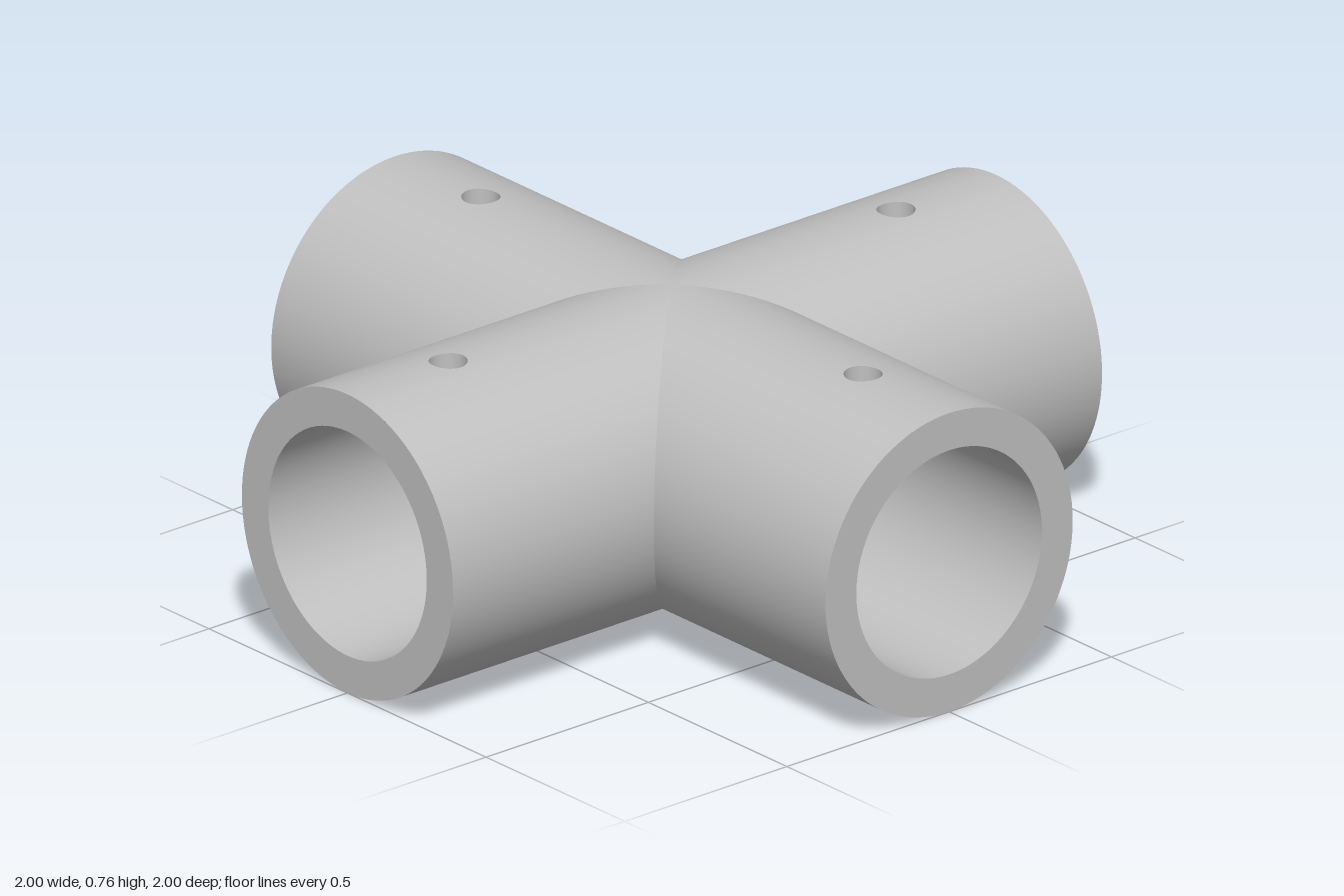
import * as THREE from 'three';
import { mergeGeometries } from 'three/addons/utils/BufferGeometryUtils.js';

const OUTER = 0.381, INNER = 0.286; // pipe radii
const HOLE = 0.046, HOLE_Z = 0.69;  // pin hole radius and distance from the centre
const PATCH = 0.07;                 // half size of the square patch around the hole

// Grid surface with given normals; triangles are wound to agree with them.
function sheet(nu, nv, point, normal) {
  const pos = [], nor = [], idx = [];
  const P = [], N = [];
  for (let j = 0; j <= nv; j++) for (let i = 0; i <= nu; i++) {
    const p = point(i / nu, j / nv), n = normal(p).normalize();
    P.push(p); N.push(n);
    pos.push(p.x, p.y, p.z); nor.push(n.x, n.y, n.z);
  }
  const tri = (a, b, c) => {
    const face = P[b].clone().sub(P[a]).cross(P[c].clone().sub(P[a]));
    if (face.dot(N[a].clone().add(N[b]).add(N[c])) > 0) idx.push(a, b, c);
    else idx.push(a, c, b);
  };
  for (let j = 0; j < nv; j++) for (let i = 0; i < nu; i++) {
    const a = j * (nu + 1) + i, c = a + nu + 1;
    tri(a, a + 1, c + 1);
    tri(a, c + 1, c);
  }
  const g = new THREE.BufferGeometry();
  g.setAttribute('position', new THREE.Float32BufferAttribute(pos, 3));
  g.setAttribute('normal', new THREE.Float32BufferAttribute(nor, 3));
  g.setIndex(idx);
  return g;
}

// Mitred pipe wall along +z with a round hole in its top.
function pipeWall(r, side) {
  const normal = p => new THREE.Vector3(p.x * side, p.y * side, 0);
  const onTop = (x, z) => new THREE.Vector3(x, Math.sqrt(r * r - x * x), z);
  const stripX = u => PATCH * Math.tan((u - 0.5) * Math.PI / 2);
  const a = Math.asin(PATCH / r);
  return mergeGeometries([
    // everything beside the hole
    sheet(96, 4, (u, v) => {
      const t = a + u * (2 * Math.PI - 2 * a), x = r * Math.sin(t);
      return new THREE.Vector3(x, r * Math.cos(t), THREE.MathUtils.lerp(Math.abs(x), 1, v));
    }, normal),
    // top strips towards the centre and towards the open end
    sheet(8, 4, (u, v) => {
      const x = stripX(u);
      return onTop(x, THREE.MathUtils.lerp(Math.abs(x), HOLE_Z - PATCH, v));
    }, normal),
    sheet(8, 2, (u, v) => onTop(stripX(u), THREE.MathUtils.lerp(HOLE_Z + PATCH, 1, v)), normal),
    // square patch with the round opening
    sheet(32, 2, (u, v) => {
      const t = u * 2 * Math.PI + Math.PI / 4, c = Math.cos(t), s = Math.sin(t);
      const k = THREE.MathUtils.lerp(HOLE, PATCH / Math.max(Math.abs(c), Math.abs(s)), v);
      return onTop(k * c, HOLE_Z + k * s);
    }, normal),
  ]);
}

// Vertical bore through the top wall
function pinHole() {
  return sheet(32, 1, (u, v) => {
    const t = u * 2 * Math.PI + Math.PI / 4, x = HOLE * Math.cos(t), r = v ? OUTER : INNER;
    return new THREE.Vector3(x, Math.sqrt(r * r - x * x), HOLE_Z + HOLE * Math.sin(t));
  }, p => new THREE.Vector3(-p.x, 0, HOLE_Z - p.z));
}

export function createModel() {
  const grey = new THREE.MeshStandardMaterial({ color: 0xc0c0c0 });
  grey.name = 'grey';
  const parts = {
    outerWall: pipeWall(OUTER, 1),
    innerWall: pipeWall(INNER, -1),
    pinHole: pinHole(),
    endRim: new THREE.RingGeometry(INNER, OUTER, 96).translate(0, 0, 1),
  };

  const model = new THREE.Group();
  model.name = 'crossPipeConnector';
  // Four equal arms meeting at the centre
  ['frontArm', 'leftArm', 'backArm', 'rightArm'].forEach((name, i) => {
    const arm = new THREE.Group();
    arm.name = name;
    for (const [part, geometry] of Object.entries(parts)) {
      const mesh = new THREE.Mesh(geometry, grey);
      mesh.name = part;
      arm.add(mesh);
    }
    arm.position.y = OUTER;
    arm.rotation.y = i * Math.PI / 2;
    model.add(arm);
  });
  return model;
}
